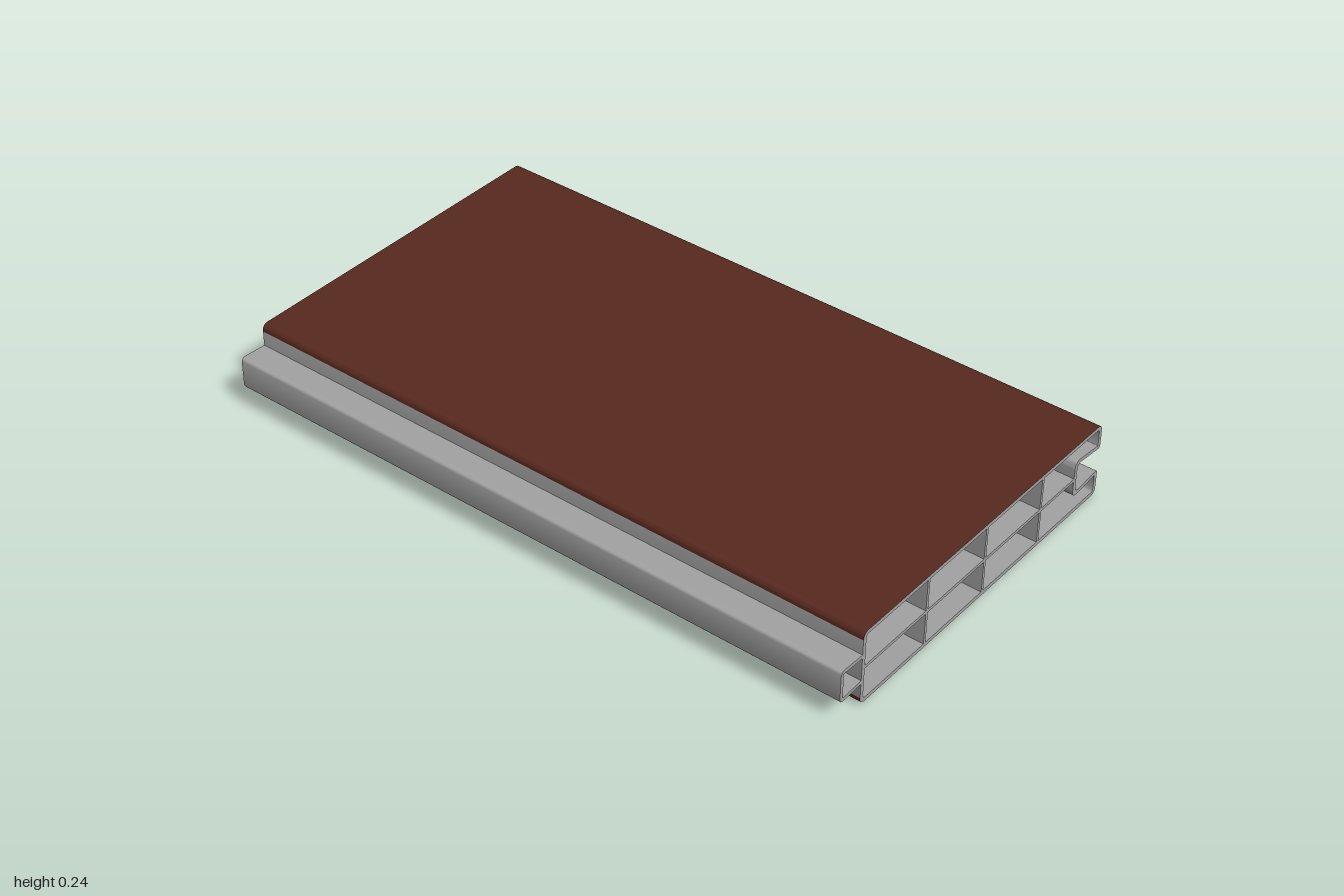
import * as THREE from 'three';
import { toCreasedNormals } from 'three/addons/utils/BufferGeometryUtils.js';

const LENGTH = 2;
const HALF = 0.114;  // half height of the board
const LEFT = -0.487; // outer faces of the board, without the tongue
const RIGHT = 0.571;
const ROUND = 0.022; // rounding of the long edges
const WALL = 0.012;

// closed outline from corners [x, y, radius]
function rounded(corners, target) {
  const n = corners.length;
  corners.forEach(([x, y, r], i) => {
    const p = new THREE.Vector2(x, y);
    const toward = (c) => new THREE.Vector2(c[0], c[1]).sub(p).setLength(r).add(p);
    const a = toward(corners[(i + n - 1) % n]);
    const b = toward(corners[(i + 1) % n]);
    if (i === 0) target.moveTo(a.x, a.y);
    else target.lineTo(a.x, a.y);
    if (r > 0) target.quadraticCurveTo(x, y, b.x, b.y);
  });
  target.closePath();
  return target;
}

// mirror the upper half of a profile (listed clockwise) about y = 0
function symmetric(upper) {
  return [...upper, ...upper.map(([x, y, r]) => [x, -y, r]).reverse()];
}

function extrude(shape) {
  const geo = new THREE.ExtrudeGeometry(shape, { depth: LENGTH, bevelEnabled: false, curveSegments: 6 });
  geo.translate(0, 0, -LENGTH / 2);
  return toCreasedNormals(geo, 0.6);
}

// paint the outer faces and lips with material 1, all else with material 0
function paintOuterFaces(geo) {
  const pos = geo.attributes.position;
  const side = geo.groups[1].start;
  geo.clearGroups();
  geo.addGroup(0, side, 0);
  const tri = new THREE.Triangle();
  const mid = new THREE.Vector3(), normal = new THREE.Vector3();
  for (let i = side; i < pos.count; i += 3) {
    tri.setFromAttributeAndIndices(pos, i, i + 1, i + 2);
    tri.getMidpoint(mid);
    tri.getNormal(normal);
    const face = Math.abs(mid.y) > HALF - ROUND && mid.x * normal.x + mid.y * normal.y > 0;
    const lip = mid.x > RIGHT - WALL && normal.x > 0.5;
    geo.addGroup(i, 3, face || lip ? 1 : 0);
  }
}

export function createModel() {
  const model = new THREE.Group();
  model.name = 'hollowBoard';
  const grey = new THREE.MeshStandardMaterial({ color: 0xa2a3a2 });
  grey.name = 'grey core';
  const brown = new THREE.MeshStandardMaterial({ color: 0x58291e });
  brown.name = 'brown skin';

  const profile = new THREE.Group();
  profile.name = 'profile';
  profile.position.y = 0.118;
  profile.rotation.z = -0.007; // the board lies very slightly tilted
  model.add(profile);

  const add = (name, geo, material) => {
    const mesh = new THREE.Mesh(geo, material);
    mesh.name = name;
    profile.add(mesh);
  };

  // outer shell with the groove on the +x edge
  const shell = rounded(symmetric([
    [LEFT, HALF, ROUND], [RIGHT, HALF, ROUND], [RIGHT, 0.036, 0.011], [0.463, 0.047, 0.02],
  ]), new THREE.Shape());
  // the chamber runs counterclockwise so that its walls face inwards
  shell.holes.push(rounded(symmetric([
    [LEFT + WALL, HALF - WALL, 0.01], [RIGHT - WALL, HALF - WALL, 0.01],
    [RIGHT - WALL, 0.049, 0.003], [0.451, 0.06, 0.026],
  ]).reverse(), new THREE.Path()));
  const shellGeo = extrude(shell);
  paintOuterFaces(shellGeo);
  add('shell', shellGeo, [grey, brown]);

  // hollow tongue on the -x edge
  const tongue = rounded([
    [-0.48, 0.046, 0], [-0.573, 0.051, 0.017], [-0.573, -0.051, 0.017], [-0.48, -0.046, 0],
    [-0.48, -0.035, 0], [-0.562, -0.039, 0.005], [-0.562, 0.039, 0.005], [-0.48, 0.035, 0],
  ], new THREE.Shape());
  add('tongue', extrude(tongue), grey);

  // inner webs
  for (const x of [-0.215, 0.039, 0.293]) {
    const web = new THREE.BoxGeometry(0.009, 2 * HALF - WALL, LENGTH);
    web.translate(x, 0, 0);
    add('uprightWeb', web, grey);
  }
  const middle = new THREE.BoxGeometry(0.936, 0.01, LENGTH);
  middle.translate(-0.012, 0, 0);
  add('middleWeb', middle, grey);

  return model;
}
